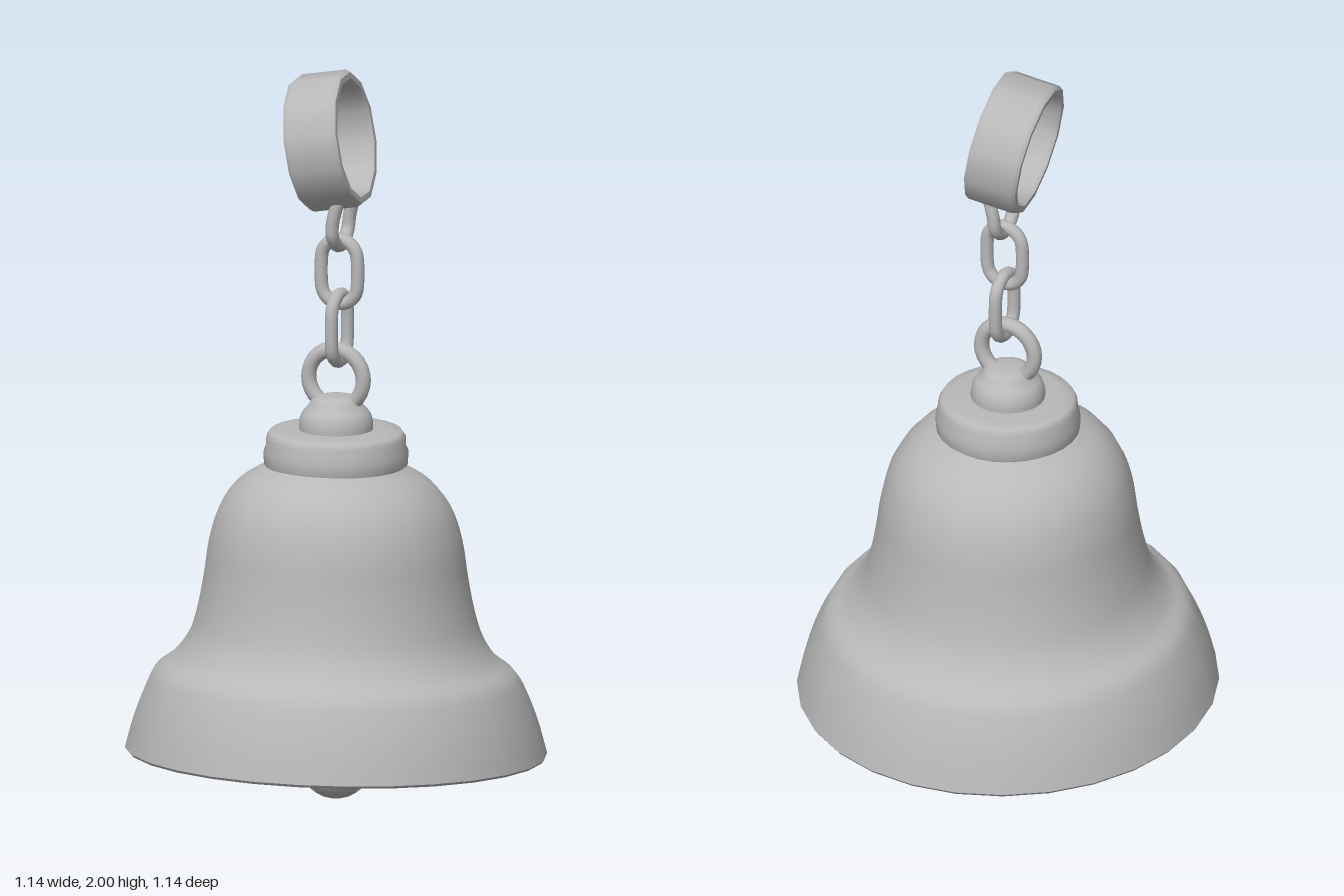
import * as THREE from 'three';

const metal = new THREE.MeshStandardMaterial({ color: 0xb8b8b8 });
metal.name = 'grey metal';

const V2 = (p) => new THREE.Vector2(p[0], p[1]);

function add(parent, name, geometry) {
  const mesh = new THREE.Mesh(geometry, metal);
  mesh.name = name;
  parent.add(mesh);
  return mesh;
}

// Smooth profile through a few [radius, height] points
const smooth = (pts, n) => new THREE.SplineCurve(pts.map(V2)).getPoints(n);

// Closed oval chain link standing in the XY plane
function linkGeometry(halfWidth, halfHeight, tube) {
  const r = halfWidth - tube;
  const s = halfHeight - tube - r;
  const pts = [];
  for (let i = 0; i < 16; i++) {
    const a = ((i + 0.5) / 16) * Math.PI * 2;
    pts.push(new THREE.Vector3(Math.cos(a) * r, Math.sin(a) * r + Math.sign(Math.sin(a)) * s, 0));
  }
  return new THREE.TubeGeometry(new THREE.CatmullRomCurve3(pts, true), 40, tube, 10, true);
}

export function createModel() {
  const model = new THREE.Group();
  model.name = 'handBell';

  // Bell body: outer wall, lip and inner wall, with the mouth slightly lifted at the front
  const bell = new THREE.Group();
  bell.name = 'bellBody';
  model.add(bell);
  const lift = new THREE.Matrix4().set(1, 0, 0, 0, 0, 1, 0.055, 0, 0, 0, 1, 0, 0, 0, 0, 1);
  const outer = [[0.568, 0.135], [0.545, 0.22], [0.515, 0.3], [0.485, 0.355], [0.435, 0.395],
    [0.395, 0.455], [0.372, 0.53], [0.355, 0.62], [0.34, 0.72], [0.31, 0.81], [0.255, 0.88], [0.18, 0.925]];
  const inner = [[0.002, 0.895], [0.17, 0.89], [0.24, 0.845], [0.285, 0.78], [0.31, 0.7], [0.33, 0.6],
    [0.348, 0.51], [0.375, 0.43], [0.42, 0.37], [0.475, 0.31], [0.515, 0.21], [0.538, 0.135]];
  const lip = [[0.538, 0.135], [0.552, 0.127], [0.563, 0.128], [0.568, 0.135]].map(V2);
  add(bell, 'bellOuterWall', new THREE.LatheGeometry(smooth(outer, 40), 28).applyMatrix4(lift));
  add(bell, 'bellInnerWall', new THREE.LatheGeometry(smooth(inner, 40), 28).applyMatrix4(lift));
  add(bell, 'bellLip', new THREE.LatheGeometry(lip, 28).applyMatrix4(lift));

  // Stepped crown and knob
  const crown = [[0.001, 0.92], [0.185, 0.92], [0.194, 0.926], [0.195, 0.962], [0.188, 0.975],
    [0.188, 1.0], [0.178, 1.015], [0.15, 1.02], [0.09, 1.022]].map(V2);
  add(model, 'crown', new THREE.LatheGeometry(crown, 28));
  const knob = [[0.1, 1.015], [0.1, 1.04], [0.092, 1.065], [0.075, 1.085], [0.06, 1.105], [0.035, 1.113], [0.001, 1.115]];
  add(model, 'knob', new THREE.LatheGeometry(smooth(knob, 18), 24));

  // Clapper
  add(model, 'clapperBall', new THREE.SphereGeometry(0.1, 24, 16)).position.y = 0.103;
  add(model, 'clapperRod', new THREE.CylinderGeometry(0.024, 0.024, 0.72, 12)).position.y = 0.55;
  add(model, 'clapperCollar', new THREE.CylinderGeometry(0.024, 0.05, 0.04, 12)).position.y = 0.205;

  // Eyelet and two crossed chain links
  add(model, 'eyelet', new THREE.TorusGeometry(0.08, 0.021, 10, 28)).position.y = 1.16;
  const lowerLink = add(model, 'lowerLink', linkGeometry(0.071, 0.11, 0.018));
  lowerLink.position.set(0.01, 1.3, 0);
  lowerLink.rotation.y = Math.PI / 2;
  add(model, 'upperLink', linkGeometry(0.07, 0.107, 0.018)).position.set(0.01, 1.455, 0);

  // Loop hanging under the bail
  const loop = [[0.03, 1.66, 0.056], [0.015, 1.6, 0.058], [0.012, 1.56, 0.052], [0.012, 1.53, 0.018],
    [0.012, 1.53, -0.018], [0.012, 1.56, -0.052], [0.015, 1.6, -0.058], [0.03, 1.66, -0.056]];
  const loopCurve = new THREE.CatmullRomCurve3(loop.map((p) => new THREE.Vector3(...p)));
  add(model, 'bailLoop', new THREE.TubeGeometry(loopCurve, 30, 0.018, 10, false));

  // Wide tilted bail ring, with its axis across the model
  const bail = new THREE.Group();
  bail.name = 'bail';
  bail.position.set(-0.018, 1.813, 0);
  bail.rotation.set(0, 0.13, 0.17);
  model.add(bail);
  const R = 0.186, r = 0.156, w = 0.074;
  const bands = {
    bailOuter: [[R - 0.008, -w], [R, -w + 0.012], [R, w - 0.012], [R - 0.008, w]],
    bailInner: [[r + 0.006, w], [r, w - 0.012], [r, -w + 0.012], [r + 0.006, -w]],
    bailEdgeLeft: [[R - 0.008, w], [r + 0.006, w]],
    bailEdgeRight: [[r + 0.006, -w], [R - 0.008, -w]],
  };
  for (const [name, pts] of Object.entries(bands)) {
    const g = new THREE.LatheGeometry(pts.map(V2), 12);
    add(bail, name, g.rotateY(Math.PI / 12).rotateZ(-Math.PI / 2));
  }
  return model;
}
